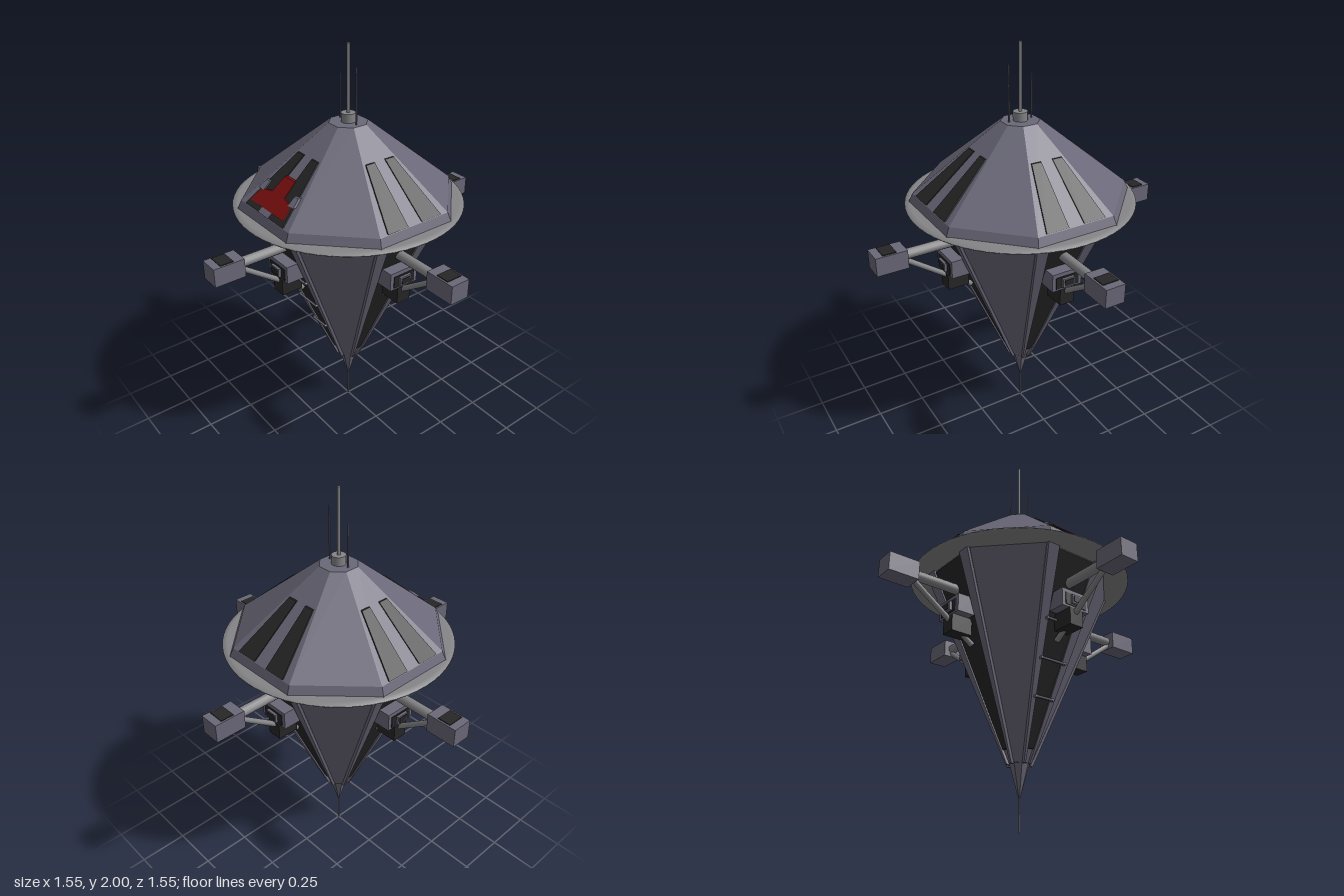
import * as THREE from 'three';

const material = (name, color) => {
  const m = new THREE.MeshStandardMaterial({ color });
  m.name = name;
  return m;
};

export function createModel() {
  const hull = material('slate hull', 0x6a6878);
  const dark = material('black panel', 0x262626);
  const red = material('red marking', 0x7c1010);
  const metal = material('grey metal', 0x858588);
  const model = new THREE.Group();

  const add = (parent, name, geometry, mat, x = 0, y = 0, z = 0) => {
    const mesh = new THREE.Mesh(geometry, mat);
    mesh.name = name;
    mesh.position.set(x, y, z);
    parent.add(mesh);
    return mesh;
  };
  const box = (parent, name, mat, w, h, d, x, y, z) =>
    add(parent, name, new THREE.BoxGeometry(w, h, d), mat, x, y, z);

  // Round rod between two points
  const rod = (parent, name, mat, a, b, r) => {
    const from = new THREE.Vector3(...a), to = new THREE.Vector3(...b);
    const mesh = add(parent, name, new THREE.CylinderGeometry(r, r, from.distanceTo(to), 12), mat);
    mesh.position.copy(from).lerp(to, 0.5);
    mesh.quaternion.setFromUnitVectors(new THREE.Vector3(0, 1, 0), to.sub(from).normalize());
  };

  // Faceted octagonal section, sized by the distance to its flats
  const octagon = (name, topFlat, topY, bottomFlat, bottomY) => {
    const k = 1 / Math.cos(Math.PI / 8);
    const g = new THREE.CylinderGeometry(topFlat * k, bottomFlat * k, topY - bottomY, 8)
      .rotateY(Math.PI / 8).toNonIndexed();
    g.computeVertexNormals();
    add(model, name, g, hull, 0, (topY + bottomY) / 2);
  };

  // Thin plate drawn in x and y, leaned onto a sloping face z = slope(y)
  const plate = (parent, name, mat, points, slope, thickness) => {
    const shape = new THREE.Shape(points.map(p => new THREE.Vector2(...p)));
    const g = new THREE.ExtrudeGeometry(shape, { depth: thickness, bevelEnabled: false });
    const p = g.attributes.position;
    for (let i = 0; i < p.count; i++) p.setZ(i, p.getZ(i) + slope(p.getY(i)));
    g.computeVertexNormals();
    add(parent, name, g, mat);
  };
  const mirrored = (points, s) => points.map(([x, y]) => [x * s, y]);
  const roofSlope = y => 0.087 + (1.64 - y) * 0.393 / 0.34;
  const hullSlope = y => 0.05 + (y - 0.31) * 0.385 / 0.93;

  // Main body
  octagon('roof', 0.087, 1.64, 0.48, 1.30);
  octagon('roofSkirt', 0.48, 1.30, 0.50, 1.255);
  octagon('lowerHull', 0.437, 1.24, 0.05, 0.31);
  octagon('tip', 0.045, 0.312, 0.002, 0.145);
  const rim = [[0, 1.237], [0.535, 1.237], [0.56, 1.245], [0.56, 1.25], [0.535, 1.26], [0, 1.26]];
  const rimGeometry = new THREE.LatheGeometry(rim.map(p => new THREE.Vector2(...p)), 64);
  add(model, 'rimDisc', rimGeometry, metal);

  // Masts
  add(model, 'mastBase', new THREE.CylinderGeometry(0.035, 0.035, 0.045, 16), metal, 0, 1.66);
  rod(model, 'mainMast', metal, [0, 1.64, 0], [0, 2, 0], 0.008);
  rod(model, 'leftAntenna', hull, [0.06, 1.6, 0], [0.06, 1.905, 0], 0.004);
  rod(model, 'rightAntenna', hull, [-0.06, 1.6, 0], [-0.06, 1.85, 0], 0.004);
  rod(model, 'bottomNeedle', metal, [0, 0, 0], [0, 0.16, 0], 0.004);

  // Four matching sides
  for (let i = 0; i < 4; i++) {
    const side = new THREE.Group();
    side.name = ['front', 'left', 'back', 'right'][i] + 'Side';
    side.rotation.y = i * Math.PI / 2;
    model.add(side);

    // Roof windows, rails and dark hull strip
    for (const s of [-1, 1]) {
      const windowShape = [[0.03, 1.52], [0.08, 1.52], [0.155, 1.305], [0.04, 1.305]];
      plate(side, 'roofWindow', dark, mirrored(windowShape, s), roofSlope, 0.008);
      const rail = [[0.112, 1.237], [0.178, 1.237], [0.022, 0.305], [0.012, 0.305]];
      plate(side, 'hullRail', hull, mirrored(rail, s), hullSlope, 0.016);
    }
    plate(side, 'hullStrip', dark, [[-0.112, 1.23], [0.112, 1.23], [0.026, 0.37], [-0.026, 0.37]], hullSlope, 0.008);

    // Outrigger pod and its struts
    rod(side, 'podArm', metal, [0, 1.105, 0.36], [0, 1.105, 0.63], 0.025);
    rod(side, 'podBrace', metal, [0, 1.085, 0.63], [0, 0.84, 0.285], 0.014);
    box(side, 'pod', hull, 0.1, 0.092, 0.155, 0, 1.105, 0.698);
    box(side, 'podWindow', dark, 0.082, 0.006, 0.066, 0, 1.152, 0.705);

    // Sensor housing on the hull face
    box(side, 'sensorHousing', hull, 0.16, 0.09, 0.09, 0, 0.997, 0.377);
    box(side, 'sensorWindow', dark, 0.122, 0.06, 0.006, 0, 0.992, 0.423);
    box(side, 'sensorBracket', hull, 0.064, 0.045, 0.022, 0, 0.992, 0.428);
    box(side, 'sensorSlot', dark, 0.048, 0.03, 0.004, 0, 0.992, 0.44);
    box(side, 'sensorBox', dark, 0.076, 0.085, 0.11, 0, 0.91, 0.37);
  }

  // Front marking over the windows
  const marking = [[-0.04, 1.44], [0.04, 1.44], [0.05, 1.382], [0.118, 1.372], [0.138, 1.326],
    [-0.138, 1.326], [-0.118, 1.372], [-0.05, 1.382]];
  plate(model, 'frontMarking', red, marking, roofSlope, 0.014);
  for (const s of [-1, 1]) {
    const tab = [[0.1, 1.405], [0.13, 1.405], [0.142, 1.372], [0.1, 1.372]];
    plate(model, 'markingTab', hull, mirrored(tab, s), roofSlope, 0.018);
    const foot = [[-0.04, 1.325], [0.04, 1.325], [0.04, 1.305], [-0.04, 1.305]];
    if (s > 0) plate(model, 'markingFoot', hull, foot, roofSlope, 0.01);
  }

  // Front ladder rungs
  for (const [y, w] of [[0.92, 0.09], [0.75, 0.07], [0.585, 0.05]]) {
    const z = hullSlope(y) + 0.025;
    rod(model, 'ladderRung', hull, [-w, y, z], [w, y, z], 0.006);
    for (const s of [-1, 1]) rod(model, 'rungMount', hull, [s * w, y, z - 0.025], [s * w, y, z + 0.005], 0.007);
  }
  return model;
}
